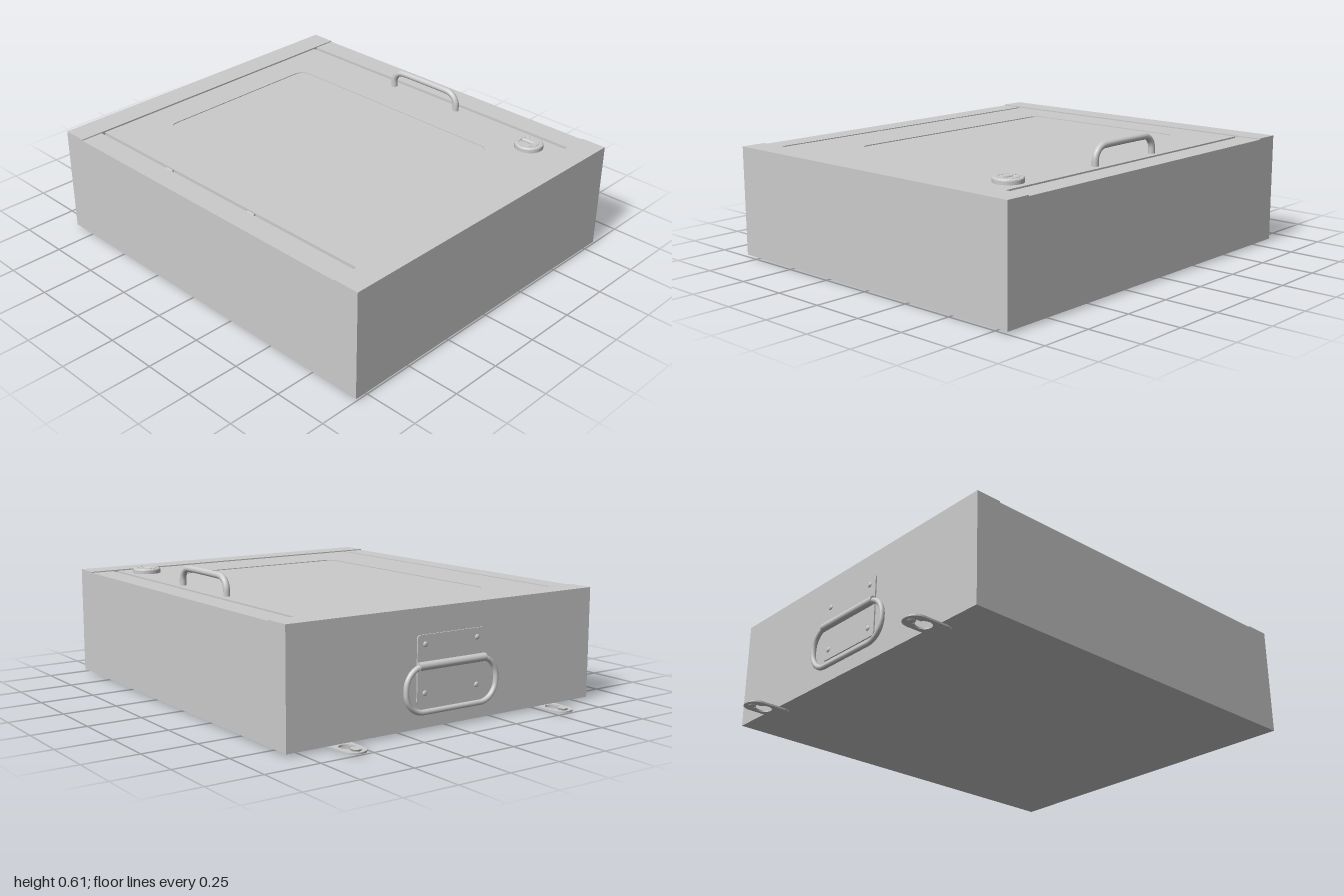
import * as THREE from 'three';

const mat = new THREE.MeshStandardMaterial({ color: 0xcccccc, roughness: 0.6 });

function add(parent, name, geometry, x = 0, y = 0, z = 0) {
  const mesh = new THREE.Mesh(geometry, mat);
  mesh.name = name;
  mesh.position.set(x, y, z);
  parent.add(mesh);
  return mesh;
}

// Box given by its limits on each axis
function block(parent, name, [x0, x1], [y0, y1], [z0, z1]) {
  return add(parent, name, new THREE.BoxGeometry(x1 - x0, y1 - y0, z1 - z0),
    (x0 + x1) / 2, (y0 + y1) / 2, (z0 + z1) / 2);
}

// Rounded rectangle centred on (cx, cy)
function roundRect(w, h, r, cx = 0, cy = 0, Type = THREE.Shape) {
  const s = new Type(), a = w / 2 - r, b = h / 2 - r;
  s.absarc(cx + a, cy + b, r, 0, Math.PI / 2);
  s.absarc(cx - a, cy + b, r, Math.PI / 2, Math.PI);
  s.absarc(cx - a, cy - b, r, Math.PI, Math.PI * 1.5);
  s.absarc(cx + a, cy - b, r, Math.PI * 1.5, Math.PI * 2);
  s.closePath();
  return s;
}

// Flat plate lying in the ground plane; the shape's y becomes -z
function flat(shape, depth, bevel = 0) {
  return new THREE.ExtrudeGeometry(shape, {
    depth: depth - bevel, bevelEnabled: bevel > 0, bevelThickness: bevel,
    bevelSize: bevel, bevelOffset: -bevel, bevelSegments: 3, curveSegments: 20,
  }).rotateX(-Math.PI / 2);
}

function cabinet(root) {
  const g = new THREE.Group();
  g.name = 'cabinet';
  root.add(g);
  block(g, 'body', [-0.815, 0.815], [0.011, 0.497], [-0.86, 1]);
  block(g, 'frontRim', [-0.815, 0.815], [0.497, 0.517], [0.88, 1]);
  block(g, 'backRim', [-0.815, 0.815], [0.497, 0.517], [-0.86, -0.74]);
  block(g, 'leftRim', [0.702, 0.815], [0.497, 0.512], [-0.74, 0.88]);
  block(g, 'rightRim', [-0.815, -0.707], [0.497, 0.512], [-0.74, 0.88]);
}

function door(root) {
  const g = new THREE.Group();
  g.name = 'door';
  root.add(g);
  // Door leaf with a shallow rounded recess
  const leaf = new THREE.Shape([[-0.69, -0.876], [0.681, -0.876], [0.681, 0.736], [-0.69, 0.736]]
    .map(([x, y]) => new THREE.Vector2(x, y)));
  leaf.holes.push(roundRect(0.88, 1.21, 0.05, 0, -0.025, THREE.Path));
  add(g, 'doorLeaf', flat(leaf, 0.015), 0, 0.497, 0);
  block(g, 'doorPanel', [-0.45, 0.45], [0.497, 0.508], [-0.59, 0.64]);
  for (const z of [-0.25, 0.28])
    add(g, 'hinge', new THREE.CylinderGeometry(0.007, 0.007, 0.04, 12).rotateX(Math.PI / 2), -0.698, 0.504, z);

  // Pull handle
  const x = 0.64, top = 0.595, z0 = 0.27, z1 = -0.125, r = 0.06;
  const v = (y, z) => new THREE.Vector3(x, y, z);
  const bend = (s, e, c) => Array.from({ length: 9 }, (_, i) => {
    const t = s + (e - s) * i / 8;
    return v(top - r + r * Math.sin(t), c + r * Math.cos(t));
  });
  const pts = [v(0.505, z0), v(0.52, z0), ...bend(0, Math.PI / 2, z0 - r),
    ...bend(Math.PI / 2, Math.PI, z1 + r), v(0.52, z1), v(0.505, z1)];
  add(g, 'doorHandle', new THREE.TubeGeometry(new THREE.CatmullRomCurve3(pts, false, 'centripetal'), 80, 0.015, 16));

  // Round lock with key slot
  const lock = new THREE.Group();
  lock.name = 'lock';
  lock.position.set(0.585, 0.51, 0.745);
  g.add(lock);
  add(lock, 'lockBase', new THREE.CylinderGeometry(0.055, 0.055, 0.012, 40), 0, 0.006, 0);
  const face = new THREE.Shape().absarc(0, 0, 0.066, 0, Math.PI * 2);
  face.holes.push(roundRect(0.016, 0.064, 0.007, 0, 0.01, THREE.Path));
  add(lock, 'lockFace', flat(face, 0.025, 0.008));
  add(lock, 'lockRing', new THREE.TorusGeometry(0.045, 0.002, 6, 40).rotateX(Math.PI / 2), 0, 0.025, 0);
}

function carryHandle(root) {
  const g = new THREE.Group();
  g.name = 'carryHandle';
  root.add(g);
  const plate = new THREE.ExtrudeGeometry(roundRect(0.36, 0.29, 0.015, 0, 0.26), { depth: 0.007, bevelEnabled: false });
  add(g, 'handlePlate', plate, 0, 0, -0.866);
  // Sleeve holding the swinging ring
  add(g, 'handleSleeve', new THREE.CylinderGeometry(0.018, 0.018, 0.36, 24).rotateZ(Math.PI / 2), 0, 0.276, -0.872);
  const ring = roundRect(0.486, 0.194, 0.09, 0, 0.179).getSpacedPoints(80).slice(0, -1)
    .map(p => new THREE.Vector3(p.x, p.y, -0.873));
  add(g, 'handleRing', new THREE.TubeGeometry(new THREE.CatmullRomCurve3(ring, true), 120, 0.012, 12, true));
  for (const x of [-0.14, 0.14]) for (const y of [0.16, 0.365])
    add(g, 'rivet', new THREE.SphereGeometry(0.012, 16, 10).scale(1, 1, 0.5), x, y, -0.866);
}

function mountingTab(root, x) {
  const g = new THREE.Group();
  g.name = 'mountingTab';
  g.position.x = x;
  root.add(g);
  const tab = roundRect(0.108, 0.22, 0.053, 0, 0.89);
  // Keyhole: wide round end joined to a narrow slot
  const R = 0.035, w = 0.018, a = Math.acos(w / R);
  const hole = new THREE.Path();
  hole.absarc(0, 0.905, R, Math.PI - a, Math.PI * 2 + a);
  hole.absarc(0, 0.965, w, 0, Math.PI);
  hole.closePath();
  tab.holes.push(hole);
  add(g, 'tabPlate', flat(tab, 0.008), 0, 0.003, 0);
  add(g, 'tabScrew', new THREE.CylinderGeometry(0.024, 0.015, 0.019, 24), 0, 0.0095, -0.965);
}

export function createModel() {
  const root = new THREE.Group();
  root.name = 'wallCabinet';
  cabinet(root);
  door(root);
  carryHandle(root);
  for (const x of [-0.56, 0.56]) mountingTab(root, x);
  return root;
}
